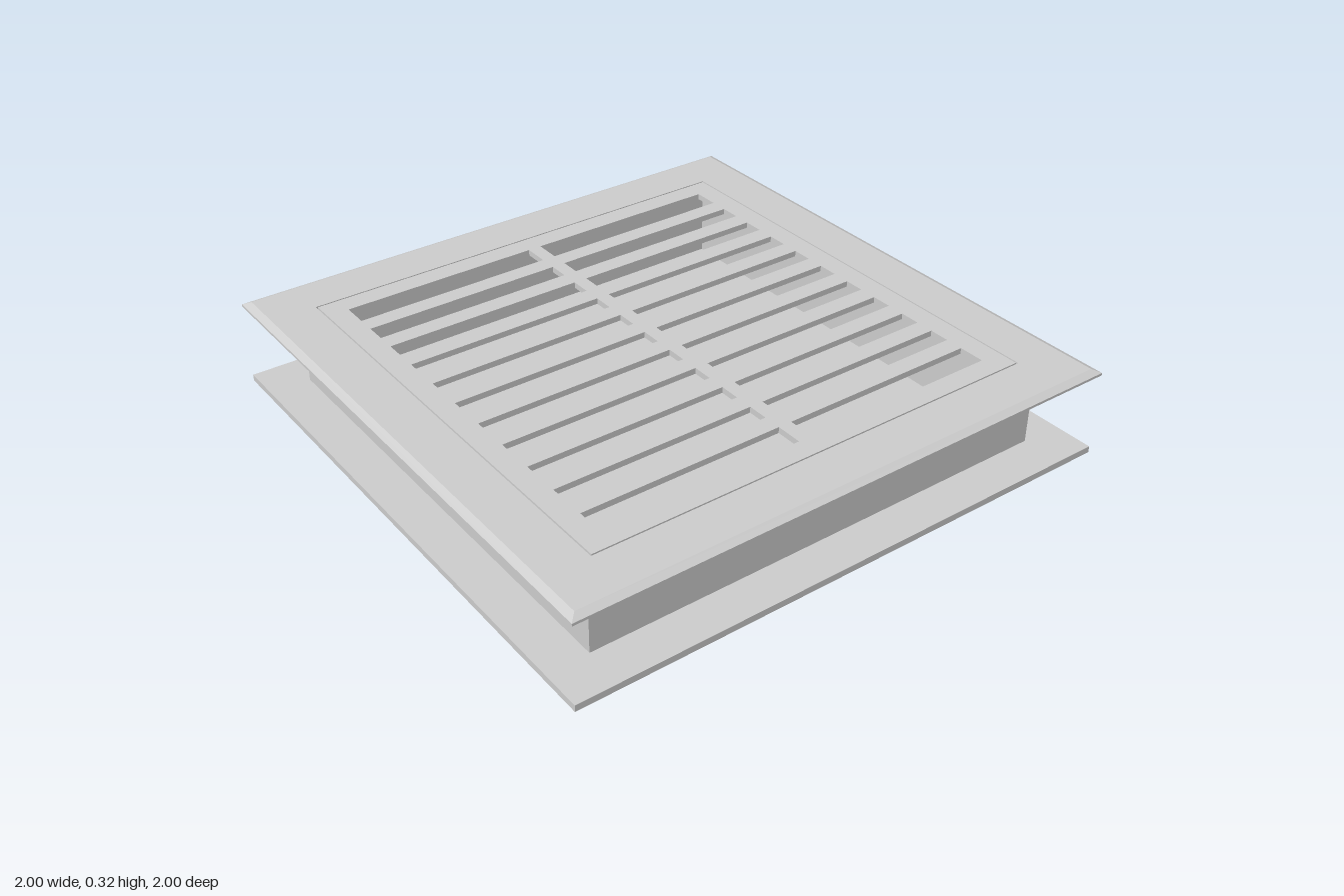
import * as THREE from 'three';

const material = new THREE.MeshStandardMaterial({ color: 0xcccccc, flatShading: true });

function addMesh(group, name, geometry, y = 0) {
  const mesh = new THREE.Mesh(geometry, material);
  mesh.name = name;
  mesh.position.y = y;
  group.add(mesh);
  return mesh;
}

// Square ring swept from a closed profile of [half width, height], outer side going up
function squareRing(profile) {
  const points = [...profile, profile[0]].map(([half, y]) => new THREE.Vector2(half * Math.SQRT2, y));
  const geometry = new THREE.LatheGeometry(points, 4).rotateY(Math.PI / 4).toNonIndexed();
  geometry.computeVertexNormals();
  return geometry;
}

function rectangle(PathType, x0, x1, z0, z1) {
  return new PathType([[x0, z0], [x1, z0], [x1, z1], [x0, z1]].map(([x, z]) => new THREE.Vector2(x, z)));
}

// Slotted panel: two rows of eleven slots, the end slots slightly wider
function grilleGeometry(half, thickness) {
  const shape = rectangle(THREE.Shape, -half, half, -half, half);
  for (let i = -5; i <= 5; i++) {
    const end = Math.abs(i) === 5;
    const x = end ? Math.sign(i) * 0.691 : i * 0.1365;
    const w = end ? 0.046 : 0.036;
    for (const [z0, z1] of [[-0.735, -0.024], [0.024, 0.735]]) {
      shape.holes.push(rectangle(THREE.Path, x - w, x + w, z0, z1));
    }
  }
  return new THREE.ExtrudeGeometry(shape, { depth: thickness, bevelEnabled: false }).rotateX(-Math.PI / 2);
}

export function createModel() {
  const group = new THREE.Group();
  group.name = 'floorVent';

  // Flat base plate
  addMesh(group, 'basePlate', new THREE.BoxGeometry(2, 0.023, 2), 0.0115);

  // Hollow square duct
  addMesh(group, 'duct', squareRing([[0.855, 0.023], [0.855, 0.296], [0.816, 0.296], [0.816, 0.023]]));

  // Top frame with a chamfered rim
  addMesh(group, 'topFrame', squareRing([[0.816, 0.295], [1, 0.295], [1, 0.304], [0.975, 0.316], [0.816, 0.316]]));

  // Grille insert, separated from the frame by a fine gap
  addMesh(group, 'grille', grilleGeometry(0.811, 0.021), 0.295);

  return group;
}
